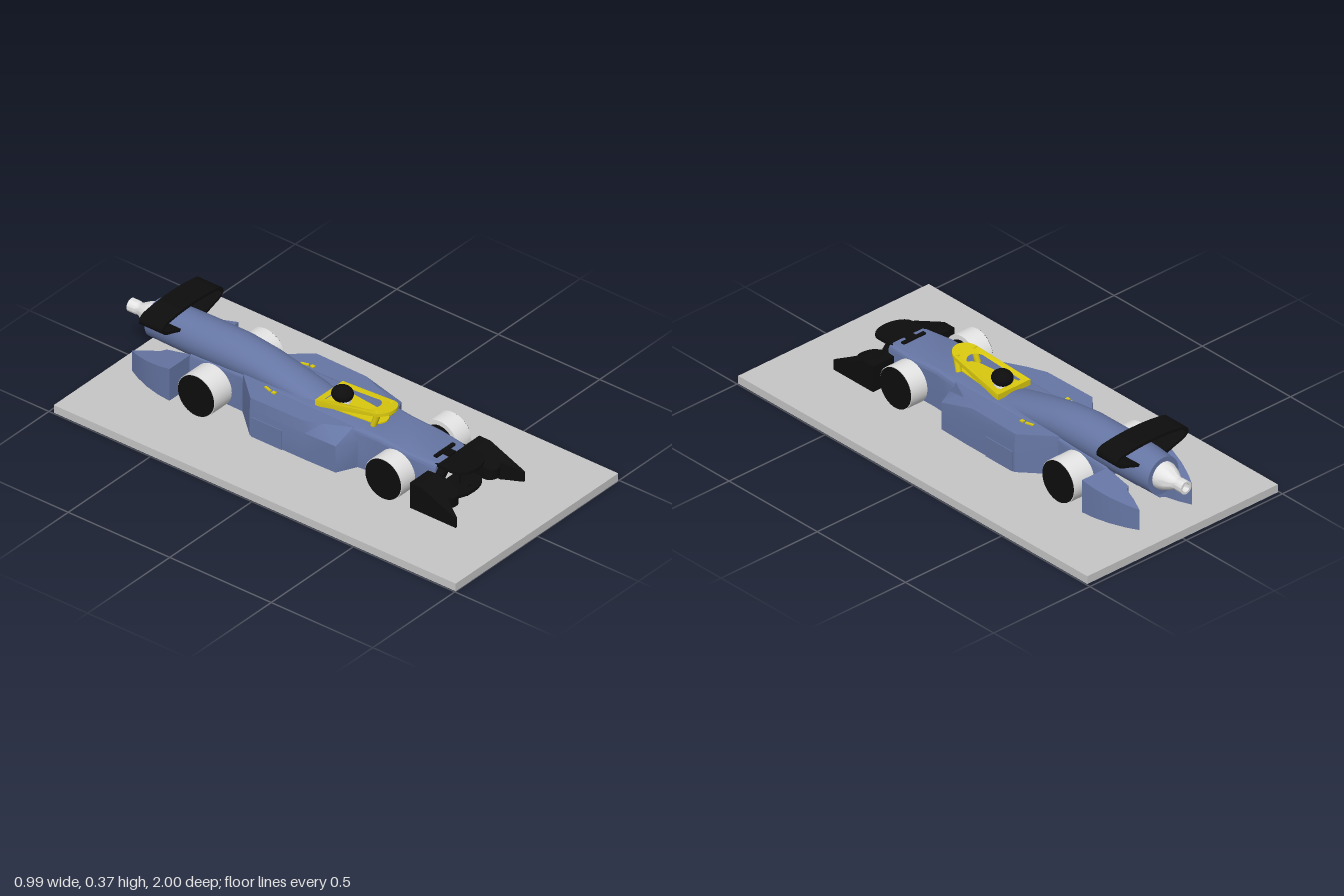
import * as THREE from 'three';
import { toCreasedNormals } from 'three/addons/utils/BufferGeometryUtils.js';

const material = (name, color) => Object.assign(new THREE.MeshStandardMaterial({ color }), { name });
const blue = material('body blue', 0x6676a4);
const yellow = material('cockpit yellow', 0xd9c80f);
const black = material('carbon black', 0x0d0d0d);
const white = material('tyre white', 0xe4e4e4);
const grey = material('base grey', 0xc6c6c6);

export function createModel() {
  const model = new THREE.Group();
  model.name = 'raceCar';

  const add = (name, geometry, mat, x = 0, y = 0, z = 0) => {
    const mesh = new THREE.Mesh(geometry, mat);
    mesh.name = name;
    mesh.position.set(x, y, z);
    model.add(mesh);
    return mesh;
  };
  const box = (name, mat, w, h, d, x, y, z) => add(name, new THREE.BoxGeometry(w, h, d), mat, x, y, z);
  const bar = (name, mat, a, b, r) => {
    const path = new THREE.LineCurve3(new THREE.Vector3(...a), new THREE.Vector3(...b));
    const mesh = add(name, new THREE.CylinderGeometry(r, r, path.getLength(), 10), mat, ...path.getPoint(0.5));
    mesh.quaternion.setFromUnitVectors(new THREE.Vector3(0, 1, 0), path.getTangent(0));
  };

  // Skin closed rings of [x, y], ordered from the highest z to the lowest
  const loft = (rings, zs, crease = 0.6) => {
    const flip = THREE.ShapeUtils.isClockWise(rings[0].map(p => new THREE.Vector2(...p)));
    const loops = rings.map(r => (flip ? [...r].reverse() : r));
    const n = loops[0].length, pos = [], idx = [];
    loops.forEach((r, i) => r.forEach(p => pos.push(p[0], p[1], zs[i])));
    for (let i = 0; i < loops.length - 1; i++) for (let j = 0; j < n; j++) {
      const a = i * n + j, b = i * n + (j + 1) % n;
      idx.push(a, a + n, b, b, a + n, b + n);
    }
    const last = (loops.length - 1) * n;
    const cap = r => THREE.ShapeUtils.triangulateShape(r.map(p => new THREE.Vector2(...p)), []);
    cap(loops[0]).forEach(([a, b, c]) => idx.push(a, b, c));
    cap(loops.at(-1)).forEach(([a, b, c]) => idx.push(last + a, last + c, last + b));
    const g = new THREE.BufferGeometry();
    g.setAttribute('position', new THREE.Float32BufferAttribute(pos, 3));
    g.setIndex(idx);
    return toCreasedNormals(g, crease);
  };

  // Extrude a plan outline of [x, z] upward; warp(y, z) may reshape heights
  const plan = (pts, y0, y1, warp = y => y, hole) => {
    const v = list => list.map(([x, z]) => new THREE.Vector2(x, -z));
    const shape = new THREE.Shape(v(pts));
    if (hole) shape.holes.push(new THREE.Path(v(hole)));
    const g = new THREE.ExtrudeGeometry(shape, { depth: y1 - y0, bevelEnabled: false });
    g.rotateX(-Math.PI / 2).translate(0, y0, 0);
    const p = g.attributes.position;
    for (let i = 0; i < p.count; i++) p.setY(i, warp(p.getY(i), p.getZ(i)));
    return toCreasedNormals(g, 0.6);
  };

  // Base plate
  box('basePlate', grey, 0.99, 0.035, 1.98, 0, 0.0175, 0.01);

  // Hull: inverted channel with a rounded deck and an open tunnel below
  const hullRing = (w, top) => {
    const ring = [[w, 0.05]];
    for (let i = 0; i <= 6; i++) {
      const a = i * Math.PI / 12;
      ring.push([w - 0.02 + 0.02 * Math.cos(a), top - 0.02 + 0.02 * Math.sin(a)]);
    }
    for (let i = 6; i >= 0; i--) {
      const a = i * Math.PI / 12;
      ring.push([-w + 0.02 - 0.02 * Math.cos(a), top - 0.02 + 0.02 * Math.sin(a)]);
    }
    ring.push([-w, 0.05], [-0.076, 0.05], [-0.076, 0.135], [-0.062, 0.15],
      [0.062, 0.15], [0.076, 0.135], [0.076, 0.05]);
    return ring;
  };
  const hull = [[0.58, 0.098, 0.2], [0.45, 0.11, 0.208], [0.3, 0.108, 0.217], [0.18, 0.12, 0.22],
    [-0.2, 0.115, 0.22], [-0.38, 0.092, 0.218], [-0.64, 0.088, 0.2]];
  add('hull', loft(hull.map(([, w, t]) => hullRing(w, t)), hull.map(h => h[0])), blue);

  // Engine cover: rising dome that turns into a round tail
  const cover = [[0, 0.075, 0.22], [-0.1, 0.08, 0.25], [-0.2, 0.084, 0.277], [-0.32, 0.087, 0.305],
    [-0.45, 0.09, 0.322], [-0.6, 0.09, 0.323], [-0.72, 0.088, 0.322], [-0.78, 0.085, 0.32], [-0.87, 0.079, 0.312]];
  const coverRing = ([, w, top]) => Array.from({ length: 36 }, (_, i) => {
    const a = i * Math.PI / 18;
    return [w * Math.cos(a), (top + 0.152) / 2 + (top - 0.152) / 2 * Math.sin(a)];
  });
  add('engineCover', loft(cover.map(coverRing), cover.map(c => c[0])), blue);

  // Jet nozzle
  const nozzleProfile = [[0, 0.86], [0.058, 0.86], [0.056, 0.885], [0.045, 0.915], [0.031, 0.94],
    [0.025, 0.955], [0.028, 0.965], [0.028, 1], [0.018, 1], [0.016, 0.975], [0, 0.975]];
  const nozzle = new THREE.LatheGeometry(nozzleProfile.map(p => new THREE.Vector2(...p)), 32);
  add('jetNozzle', toCreasedNormals(nozzle.rotateX(-Math.PI / 2), 0.7), white, 0, 0.235, 0);

  // Rear wing: a hollow bow swept along z
  const bow = new THREE.CatmullRomCurve3([[0.06, 0.275], [0.11, 0.293], [0.165, 0.312], [0.181, 0.328],
    [0.172, 0.346], [0.11, 0.359], [0, 0.365], [-0.11, 0.359], [-0.172, 0.346], [-0.181, 0.328],
    [-0.165, 0.312], [-0.11, 0.293], [-0.06, 0.275]].map(p => new THREE.Vector3(...p, 0))).getPoints(60);
  const side = s => bow.map((p, i) => {
    const t = bow[Math.min(i + 1, 60)].clone().sub(bow[Math.max(i - 1, 0)]).normalize();
    return [p.x - t.y * s, p.y + t.x * s];
  });
  const bowRing = [...side(0.006), ...side(-0.006).reverse()];
  add('rearWing', loft([bowRing, bowRing], [-0.695, -0.81]), black);

  for (const s of [1, -1]) {
    const m = pts => pts.map(([x, z]) => [s * x, z]);

    // Side pod with a sloping front shoulder
    const low = [[0.08, 0.215], [0.12, 0.21], [0.2, 0.17], [0.204, 0.02], [0.204, -0.25], [0.08, -0.39]];
    const high = [[0.08, 0.2], [0.112, 0.185], [0.165, 0.08], [0.196, 0], [0.2, -0.25], [0.08, -0.385]];
    const level = pts => m(pts).map(([x, z]) => [x, -z]);
    const pod = loft([high, low, low].map(level), [0.219, 0.17, 0.05], 0.5);
    add('sidePod', pod.rotateX(-Math.PI / 2), blue);
    box('podDuct', blue, 0.02, 0.088, 0.15, s * 0.198, 0.094, -0.165);

    // Small deck marks
    box('deckMark', yellow, 0.01, 0.005, 0.035, s * 0.112, 0.222, -0.235).rotation.y = s * 0.3;
    box('deckMark', yellow, 0.014, 0.005, 0.016, s * 0.118, 0.222, -0.2);

    // Rear fin pod, pointed at the back
    add('rearFin', plan(m([[0.08, -0.64], [0.211, -0.64], [0.205, -0.7], [0.188, -0.77], [0.163, -0.835],
      [0.137, -0.885], [0.115, -0.83], [0.1, -0.775], [0.08, -0.76]]), 0.05, 0.195,
    (y, z) => (y > 0.1 ? 0.195 + (z + 0.64) * 0.22 : y)), blue);

    // Wheels: pale tread, dark discs, short axles
    for (const [z, r, x0, x1] of [[0.415, 0.09, 0.13, 0.212], [-0.507, 0.091, 0.108, 0.212]]) {
      const y = 0.128, mid = s * (x0 + x1) / 2;
      const disc = (name, mat, radius, w, x) =>
        add(name, new THREE.CylinderGeometry(radius, radius, w, 40).rotateZ(Math.PI / 2), mat, x, y, z);
      disc('wheelTread', white, r, x1 - x0, mid);
      disc('wheelDisc', black, r - 0.003, 0.006, s * x1);
      disc('wheelDisc', black, r - 0.02, 0.004, s * x0);
      disc('axle', black, 0.022, 0.07, s * (x0 - 0.015));
    }

    // Front wing endplate and side lobe, both falling away to the front
    const fall = (y, z) => (y > 0.12 ? 0.165 - Math.max(0, z - 0.6) * 0.42 : y);
    add('endplate', plan(m([[0.16, 0.545], [0.211, 0.545], [0.211, 0.6], [0.211, 0.77], [0.203, 0.77],
      [0.19, 0.745], [0.175, 0.715], [0.16, 0.69], [0.16, 0.6]]), 0.05, 0.165, fall), black);
    const lobe = [[0.088, 0.545], [0.165, 0.545], [0.165, 0.6]];
    for (let i = 0; i <= 10; i++) {
      const a = i * Math.PI / 10;
      lobe.push([0.1265 + 0.0385 * Math.cos(a), 0.67 + 0.035 * Math.sin(a)]);
    }
    lobe.push([0.088, 0.6]);
    add('wingLobe', plan(m(lobe), 0.08, 0.16, fall), black);
    bar('wingStrut', black, [s * 0.088, 0.155, 0.6], [s * 0.07, 0.19, 0.6], 0.009);

    // Halo front legs
    bar('haloLeg', yellow, [s * 0.05, 0.218, 0.235], [s * 0.045, 0.28, 0.255], 0.013);
  }

  // Front wing centre: lower and upper lobes, mouth frame, pole and hook
  const centreLobe = (w, z0, z1) => {
    const pts = [[-w, z0], [w, z0]];
    for (let i = 0; i <= 12; i++) {
      const a = i * Math.PI / 12;
      pts.push([w * Math.cos(a), z1 - 0.06 + 0.06 * Math.sin(a)]);
    }
    return pts;
  };
  add('lowerWing', plan(centreLobe(0.1, 0.56, 0.69), 0.074, 0.086), black);
  add('upperWing', plan(centreLobe(0.088, 0.57, 0.71), 0.188, 0.2, (y, z) => y - Math.max(0, z - 0.65) * 0.1), black);
  const rect = (Type, w, y0, y1, c) => new Type([[w - c, y0], [w, y0 + c], [w, y1 - c], [w - c, y1],
    [c - w, y1], [-w, y1 - c], [-w, y0 + c], [c - w, y0]].map(p => new THREE.Vector2(...p)));
  const frame = rect(THREE.Shape, 0.098, 0.075, 0.182, 0.015);
  frame.holes.push(rect(THREE.Path, 0.082, 0.087, 0.168, 0.018));
  add('mouthFrame', new THREE.ExtrudeGeometry(frame, { depth: 0.04, bevelEnabled: false }), black, 0, 0, 0.575);
  bar('wingPole', black, [0, 0.085, 0.62], [0, 0.192, 0.62], 0.004);
  add('frontHook', new THREE.TorusGeometry(0.021, 0.004, 10, 28), black, 0, 0.071, 0.66);
  box('noseBracket', black, 0.115, 0.008, 0.016, 0, 0.206, 0.545);
  box('noseBracketStem', black, 0.04, 0.008, 0.04, 0, 0.205, 0.565);

  // Cockpit tray and sloping halo
  const outline = (w0, w1, z0, z1) => {
    const pts = [[-w0, z0], [w0, z0]];
    for (let i = 0; i <= 14; i++) {
      const a = i * Math.PI / 14;
      pts.push([w1 * Math.cos(a), z1 - w1 + w1 * Math.sin(a)]);
    }
    return pts;
  };
  add('cockpitTray', plan(outline(0.07, 0.045, -0.015, 0.26), 0.217, 0.224), yellow);
  add('halo', plan(outline(0.084, 0.06, -0.025, 0.3), 0.216, 0.23,
    (y, z) => y + Math.max(0, z + 0.025) * 0.185 + (y > 0.22 ? Math.max(0, 0.05 - z) * 0.2 : 0),
    outline(0.056, 0.042, 0, 0.225)), yellow);

  // Driver
  add('driverNeck', new THREE.CylinderGeometry(0.027, 0.032, 0.03, 24), white, 0, 0.235, 0.045);
  add('helmet', new THREE.SphereGeometry(0.042, 28, 18).scale(1, 0.78, 1.08), black, 0, 0.258, 0.042);
  return model;
}
